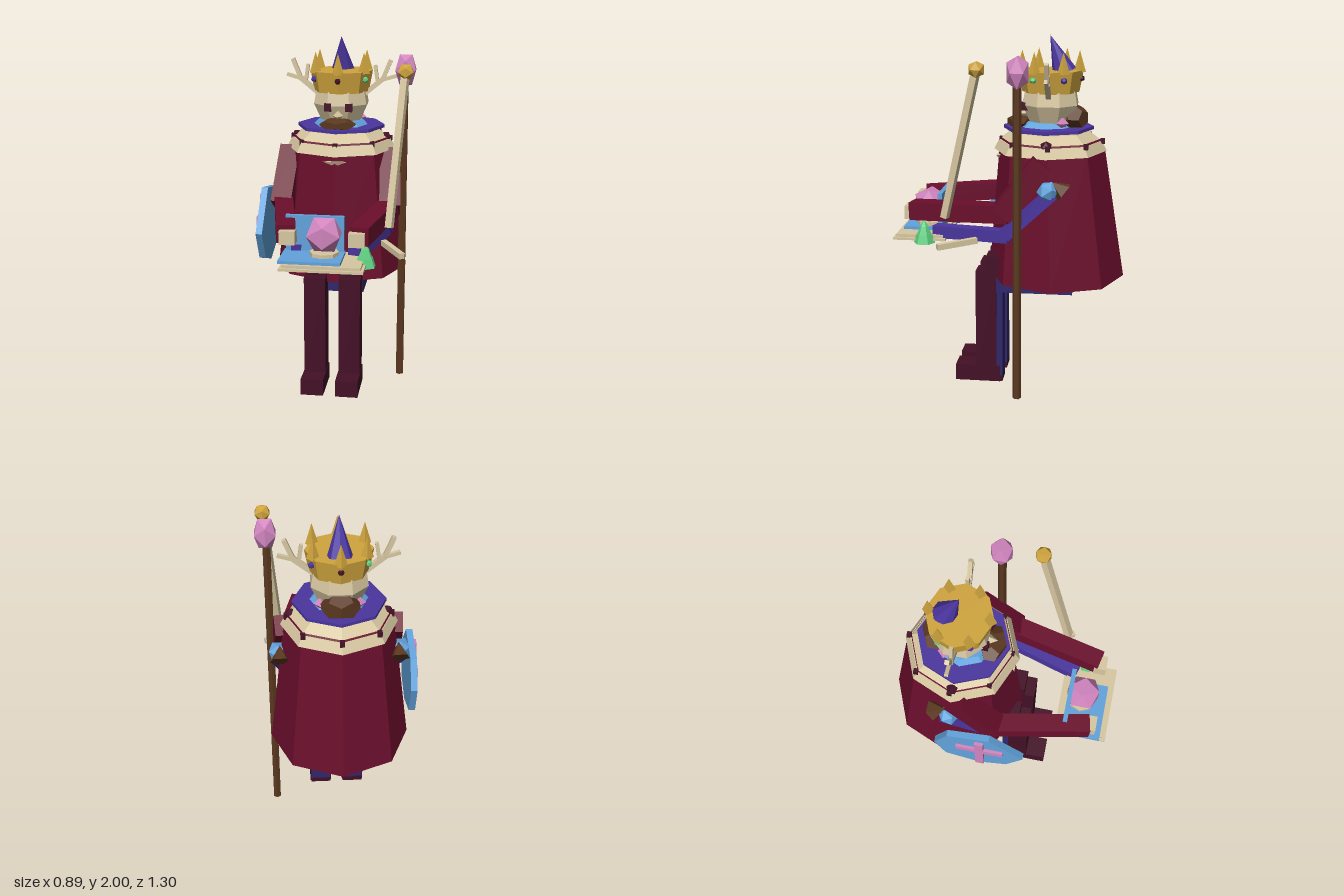
import * as THREE from 'three';

const COLORS = {
  crimson: 0x6a0e2c, wine: 0x430f26, purple: 0x4a359e, indigo: 0x30276a, bone: 0xd8c8a2,
  gold: 0xd0a53e, pink: 0xd286c0, blue: 0x62a3dc, green: 0x5fd080, brown: 0x5a381f,
};

export function createModel() {
  const model = new THREE.Group();
  model.name = 'seatedKing';
  const mats = {};
  for (const [name, color] of Object.entries(COLORS)) {
    mats[name] = new THREE.MeshStandardMaterial({ color });
    mats[name].name = name;
  }

  // Adds a faceted mesh
  function add(name, geo, mat, x = 0, y = 0, z = 0) {
    const g = geo.index ? geo.toNonIndexed() : geo;
    g.computeVertexNormals();
    const mesh = new THREE.Mesh(g, mats[mat]);
    mesh.name = name;
    mesh.position.set(x, y, z);
    model.add(mesh);
    return mesh;
  }
  // Box given by its min and max corners
  function box(name, mat, x0, x1, y0, y1, z0, z1) {
    return add(name, new THREE.BoxGeometry(x1 - x0, y1 - y0, z1 - z0), mat,
      (x0 + x1) / 2, (y0 + y1) / 2, (z0 + z1) / 2);
  }
  // Box beam between two points
  function beam(name, mat, a, b, w, h = w) {
    const A = new THREE.Vector3(...a), B = new THREE.Vector3(...b);
    const mesh = add(name, new THREE.BoxGeometry(w, h, A.distanceTo(B)), mat);
    mesh.position.copy(A).lerp(B, 0.5);
    mesh.lookAt(B);
    return mesh;
  }
  const cyl = (rTop, rBottom, h, n = 8) => new THREE.CylinderGeometry(rTop, rBottom, h, n);
  // Calls fn(x, z, i) for points evenly spaced on a circle, starting at the front
  function around(n, r, cz, fn) {
    for (let i = 0; i < n; i++) {
      const a = (i / n) * Math.PI * 2;
      fn(Math.sin(a) * r, cz + Math.cos(a) * r, i);
    }
  }

  // Cloak: eight-sided cone leaning back a little
  const cloak = cyl(0.3, 0.39, 0.74);
  const p = cloak.attributes.position;
  for (let i = 0; i < p.count; i++) if (p.getY(i) > 0) p.setZ(i, p.getZ(i) + 0.03);
  add('cloak', cloak, 'crimson', 0, 1.0, -0.26);

  // Shoulder mantle with crimson band and studs
  add('mantle', cyl(0.29, 0.32, 0.055), 'bone', 0, 1.3875, -0.22);
  add('mantleBand', cyl(0.277, 0.285, 0.012), 'crimson', 0, 1.421, -0.22);
  add('mantleTop', cyl(0.22, 0.28, 0.045), 'bone', 0, 1.448, -0.22);
  around(8, 0.285, -0.23, (x, z) =>
    add('mantleStud', new THREE.BoxGeometry(0.026, 0.03, 0.026), 'wine', x, 1.415, z));
  const clasp = add('chestClasp', new THREE.ConeGeometry(0.08, 0.03, 3), 'bone', 0, 1.315, 0.065);
  clasp.rotation.x = Math.PI;
  clasp.scale.z = 0.4;

  // Ruff and neck
  add('ruff', cyl(0.255, 0.255, 0.018), 'purple', 0, 1.49, -0.21);
  add('neck', cyl(0.12, 0.15, 0.05), 'gold', 0, 1.472, -0.21);
  add('neckScarf', cyl(0.13, 0.16, 0.03), 'blue', 0, 1.512, -0.2);
  for (const s of [-1, 1])
    add('scarfKnot', new THREE.OctahedronGeometry(0.04), 'pink', s * 0.1, 1.525, -0.29);

  // Head and face
  const headProfile = [[0, 1.49], [0.11, 1.5], [0.165, 1.62], [0.15, 1.7], [0, 1.7]]
    .map(([r, y]) => new THREE.Vector2(r, y));
  add('head', new THREE.LatheGeometry(headProfile, 8, Math.PI / 8), 'bone', 0, 0, -0.22);
  for (const s of [-1, 1]) box('eye', 'wine', s * 0.06 - 0.02, s * 0.06 + 0.02, 1.59, 1.635, -0.1, -0.06);
  const nose = add('nose', new THREE.OctahedronGeometry(0.03), 'bone', 0, 1.565, -0.07);
  nose.scale.z = 1.6;
  const ball = new THREE.DodecahedronGeometry(1);
  add('moustache', ball.clone(), 'brown', 0, 1.52, -0.05).scale.set(0.11, 0.038, 0.08);
  add('hairBun', ball.clone(), 'brown', 0, 1.545, -0.355).scale.set(0.11, 0.08, 0.08);

  // Crown with spikes, gems and a purple cap
  add('crown', cyl(0.182, 0.16, 0.12), 'gold', 0, 1.75, -0.22);
  around(6, 0.16, -0.22, (x, z) =>
    add('crownSpike', new THREE.ConeGeometry(0.035, 0.12, 4), 'gold', x, 1.86, z));
  around(6, 0.17, -0.22, (x, z, i) =>
    add('crownGem', new THREE.IcosahedronGeometry(0.019), ['wine', 'green', 'purple'][i % 3], x, 1.765, z));
  const cap = add('crownCap', new THREE.ConeGeometry(0.07, 0.22, 8), 'purple', 0, 1.9, -0.255);
  cap.rotation.x = 0.38;

  // Antlers
  for (const s of [-1, 1]) {
    const branch = (a, b, w) => beam('antler', 'bone',
      [s * a[0], a[1], -0.22], [s * b[0], b[1], -0.22], w);
    branch([0.13, 1.67], [0.24, 1.76], 0.028);
    branch([0.24, 1.76], [0.285, 1.87], 0.024);
    branch([0.235, 1.755], [0.32, 1.78], 0.02);
    branch([0.21, 1.74], [0.195, 1.84], 0.02);
  }

  // Pelvis and lower body
  box('pelvis', 'indigo', -0.165, 0.165, 0.55, 0.7, -0.365, 0.05);

  for (const s of [-1, 1]) {
    // Legs
    const x0 = s * 0.1 - 0.062, x1 = s * 0.1 + 0.062;
    box('leg', 'indigo', x0 + 0.004, x1 - 0.004, 0.03, 0.68, 0.035, 0.12);
    box('greave', 'wine', x0, x1, 0.03, 0.67, 0.07, 0.19);
    box('knee', 'wine', x0, x1, 0.64, 0.76, 0.04, 0.13);
    box('boot', 'wine', x0 - 0.003, x1 + 0.003, 0, 0.095, 0.05, 0.31);
    box('heel', 'wine', x0 + 0.002, x1 - 0.002, 0, 0.035, 0.035, 0.06);

    // Upper pair of arms
    beam('upperArm', 'crimson', [s * 0.29, 1.34, -0.2], [s * 0.31, 1.05, 0.02], 0.12, 0.12);
    beam('forearm', 'crimson', [s * 0.315, 1.06, -0.03], [s * 0.195, 1.035, 0.54], 0.105, 0.1);
    box('hand', 'bone', s * 0.185 - 0.043, s * 0.185 + 0.043, 0.985, 1.06, 0.51, 0.58);

    // Lower pair of arms
    beam('lowerUpperArm', 'purple', [s * 0.33, 1.18, -0.26], [s * 0.28, 0.93, 0.0], 0.08, 0.08);
    beam('lowerForearm', 'purple', [s * 0.28, 0.92, -0.02], [s * 0.155, 0.905, 0.42], 0.07, 0.07);
    const cuff = add('armCuff', new THREE.IcosahedronGeometry(0.06), 'blue', s * 0.335, 1.19, -0.235);
    cuff.rotation.x = 0.6;
    const pad = add('shoulderCone', new THREE.ConeGeometry(0.06, 0.09, 5), 'brown', s * 0.325, 1.215, -0.29);
    pad.rotation.x = 0.9;
    add('shoulderBrooch', new THREE.IcosahedronGeometry(0.035), 'wine', s * 0.26, 1.42, -0.22);
  }

  // Tray with folding blue panel, orb and little tree
  box('trayBase', 'bone', -0.22, 0.23, 0.862, 0.876, 0.35, 0.65);
  box('trayTop', 'bone', -0.205, 0.215, 0.876, 0.892, 0.365, 0.635);
  box('panelBase', 'blue', -0.23, 0.105, 0.892, 0.908, 0.39, 0.615);
  box('panelScreen', 'blue', -0.22, 0.1, 0.908, 1.105, 0.39, 0.415);
  add('orbStand', cyl(0.08, 0.08, 0.02), 'bone', 0, 0.918, 0.475);
  const orb = add('orb', new THREE.IcosahedronGeometry(0.105), 'pink', 0, 1.02, 0.475);
  orb.scale.y = 1.05;
  add('treeBase', cyl(0.045, 0.062, 0.05, 6), 'green', 0.22, 0.875, 0.47);
  add('treeMiddle', cyl(0.022, 0.043, 0.05, 6), 'green', 0.22, 0.922, 0.47);
  add('treeTop', new THREE.ConeGeometry(0.025, 0.04, 6), 'green', 0.22, 0.965, 0.47);

  // Shield carried on the side
  const outline = [[0.06, 0.225], [-0.18, 0.18], [-0.26, 0.02], [-0.2, -0.16], [0, -0.225], [0.16, -0.17], [0.255, 0]];
  const shield = new THREE.ExtrudeGeometry(
    new THREE.Shape(outline.map(([a, b]) => new THREE.Vector2(a, b))), { depth: 0.037, bevelEnabled: false });
  shield.rotateY(-Math.PI / 2);
  add('shield', shield, 'blue', -0.398, 0.925, -0.05);
  box('crossUpright', 'pink', -0.453, -0.433, 0.74, 1.1, -0.07, -0.02);
  box('crossBar', 'pink', -0.452, -0.433, 0.945, 0.995, -0.18, 0.09);

  // Staff with crystal
  add('staff', cyl(0.024, 0.024, 1.78, 6), 'brown', 0.377, 0.89, -0.075);
  add('staffCrystal', new THREE.IcosahedronGeometry(1), 'pink', 0.382, 1.835, -0.078).scale.set(0.067, 0.1, 0.067);

  // Sceptre and loose wand
  beam('sceptreRod', 'bone', [0.335, 1.03, 0.33], [0.395, 1.84, 0.14], 0.038);
  add('sceptreBall', new THREE.IcosahedronGeometry(0.048), 'gold', 0.397, 1.85, 0.138);
  beam('wand', 'bone', [0.29, 0.893, 0.16], [0.41, 0.88, 0.36], 0.032);

  return model;
}
